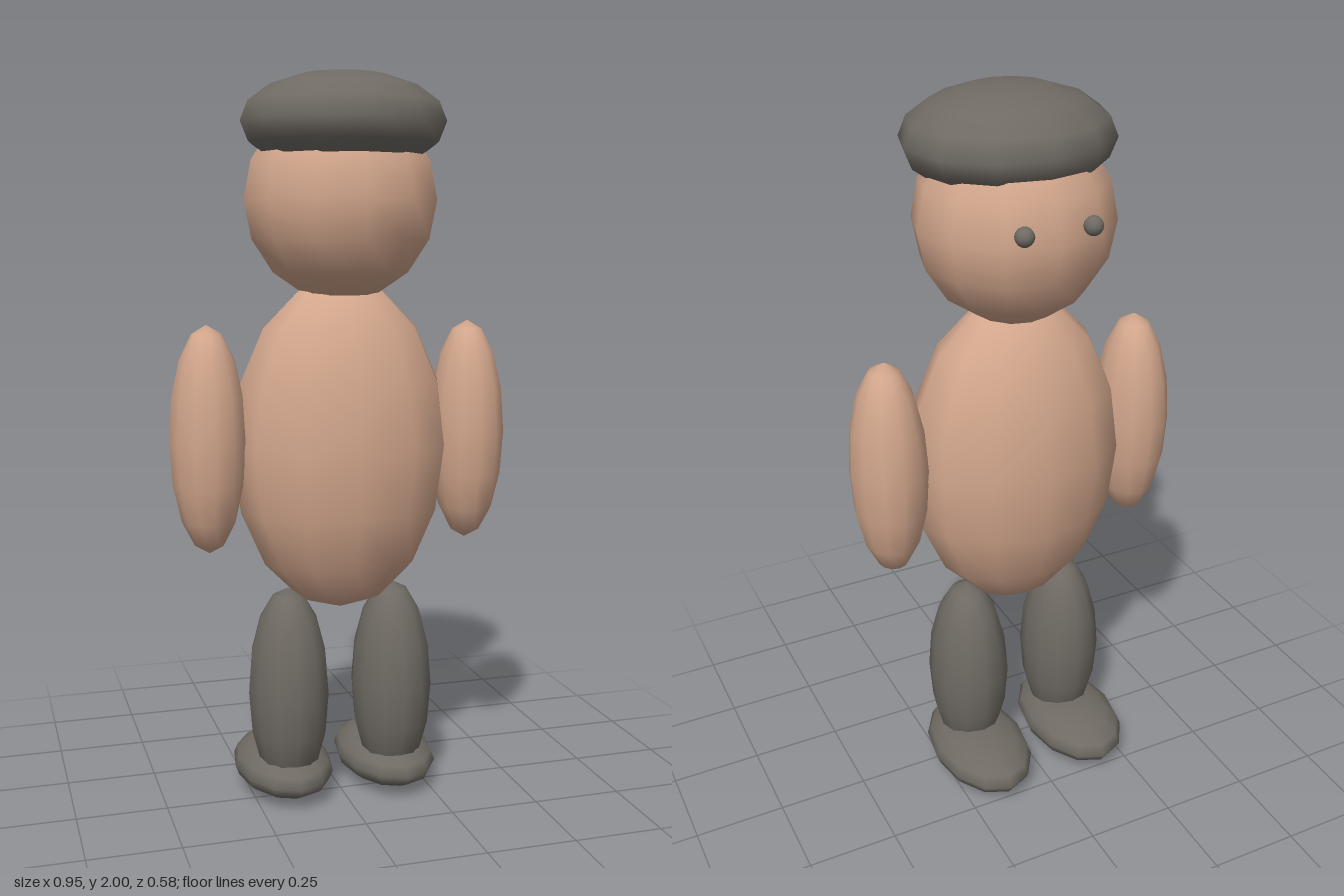
import * as THREE from 'three';

export function createModel() {
  const group = new THREE.Group();
  const skin = new THREE.MeshStandardMaterial({ name: 'skin', color: 0xd2a68c });
  const dark = new THREE.MeshStandardMaterial({ name: 'darkGrey', color: 0x6f6a63 });

  // Smooth low-poly ball, stretched to the given radii
  const ball = new THREE.SphereGeometry(1, 12, 8);
  function ellipsoid(name, material, position, radii) {
    const mesh = new THREE.Mesh(ball, material);
    mesh.name = name;
    mesh.position.set(...position);
    mesh.scale.set(...radii);
    group.add(mesh);
  }

  // Torso, head and the flat cap, which sits slightly back
  ellipsoid('body', skin, [0, 1.0, 0], [0.305, 0.46, 0.217]);
  ellipsoid('head', skin, [0, 1.665, 0], [0.265, 0.27, 0.255]);
  ellipsoid('cap', dark, [0, 1.865, 0.033], [0.28, 0.135, 0.255]);

  // Mirrored parts; the face and toes point to -z
  for (const [side, s] of [['left', 1], ['right', -1]]) {
    ellipsoid(side + 'Arm', skin, [s * 0.37, 1.028, 0], [0.105, 0.31, 0.115]);
    ellipsoid(side + 'Leg', dark, [s * 0.151, 0.31, 0], [0.114, 0.295, 0.126]);
    ellipsoid(side + 'Foot', dark, [s * 0.153, 0.07, -0.071], [0.138, 0.07, 0.22]);
    ellipsoid(side + 'Eye', dark, [s * 0.093, 1.703, -0.243], [0.025, 0.025, 0.025]);
  }
  return group;
}
